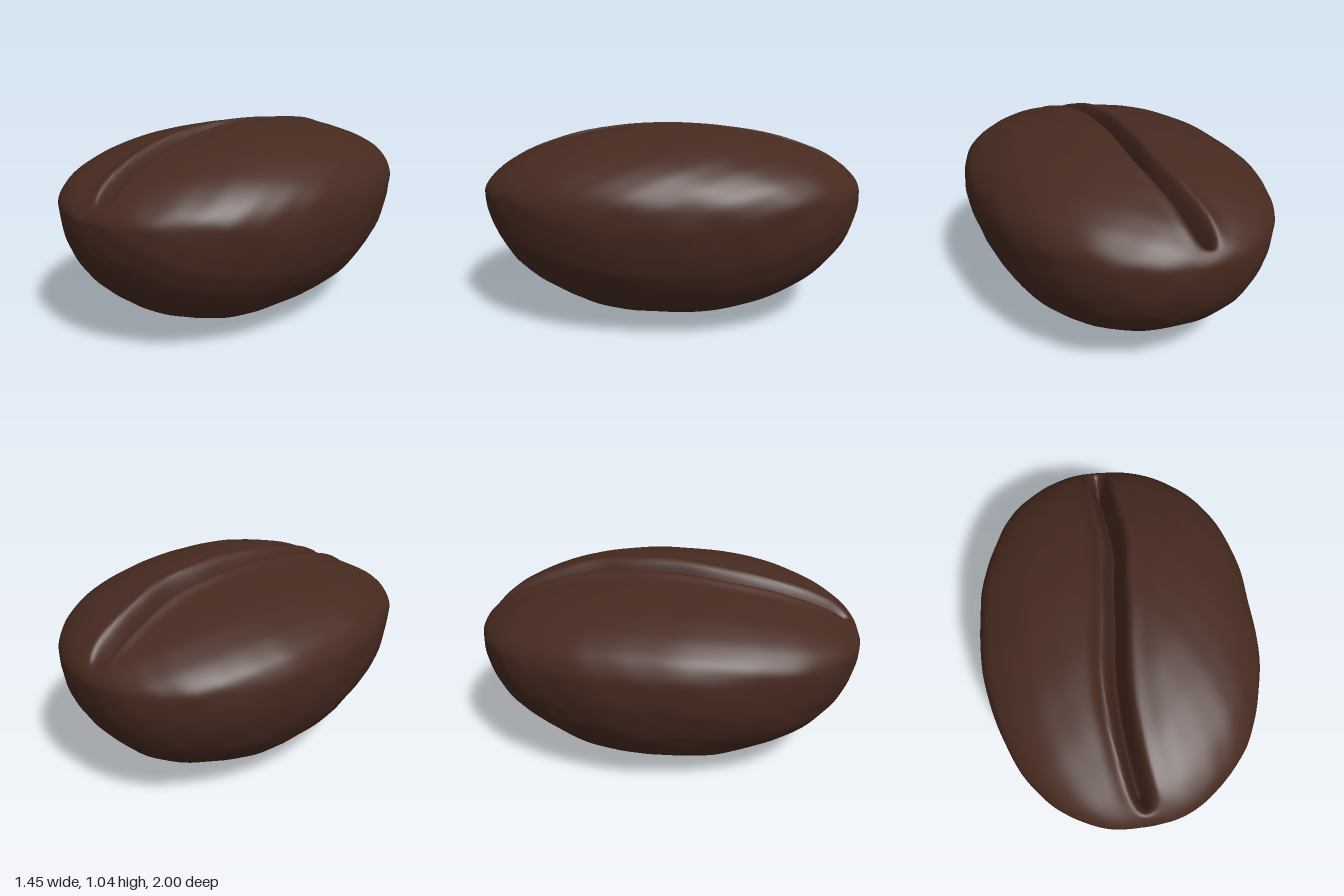
import * as THREE from 'three';

const ROWS = 150, TOP = 110, BOTTOM = 70;
const RIM = 0.68, HALF_WIDTH = 0.725;
const { smoothstep, clamp } = THREE.MathUtils;

// Centre line of the crease: x at evenly spaced z from -1 to 1
const creaseLine = new THREE.SplineCurve(
  [0.01, 0.012, 0.025, 0.033, 0.005, -0.015, -0.042, -0.055, -0.047, -0.022, 0.015]
    .map((x, i) => new THREE.Vector2(-1 + i * 0.2, x)));

// Superellipse: 1 at t = 0 falling to 0 at t = 1; larger n is fuller
const arch = (t, n) => Math.pow(Math.max(0, 1 - Math.pow(Math.abs(t), n)), 1 / n);

// Irregular bumps of the roasted skin, from broad to fine
function bumps(x, y, z) {
  return 0.006 * Math.sin(5.1 * x + 3.3 * y + 1.3) * Math.sin(4.3 * z - 2.1 * y + 0.4)
    + 0.005 * Math.sin(9.7 * x - 6.1 * z + 2.0) * Math.sin(8.3 * y + 5.2 * z)
    + 0.003 * Math.sin(17 * x + 9 * z + 3 * y) * Math.sin(21 * y - 7 * z + 1)
    + 0.002 * Math.sin(29 * x - 11 * z + 8 * y) * Math.sin(41 * y + 13 * z + 2);
}

// Height change of the crease: a V valley with a raised lip on each side
function crease(d, z, r) {
  const fade = smoothstep(0.97 - Math.abs(z + 0.005), 0, 0.13);
  const width = d < 0 ? 0.042 : 0.054;
  const valley = -0.19 * Math.exp(-Math.pow(Math.abs(d) / (width * 0.72), 2));
  const lip = (d < 0 ? 0.024 : 0.016) * r * Math.exp(-Math.pow((Math.abs(d) - width * 1.4) / 0.04, 2));
  return fade * (valley + lip);
}

// Closed cross-sections from the front tip to the back tip
function beanGeometry() {
  const positions = [], indices = [], ring = TOP + BOTTOM;
  const add = (x, y, z) => {
    const k = 1 + bumps(x, y, z) * 1.2;
    positions.push(x * k, RIM + (y - RIM) * k, z * (1 + (k - 1) * 0.5));
  };
  for (let i = 0; i <= ROWS; i++) {
    const z = Math.cos(Math.PI * i / ROWS);
    const r = arch(z, 2), depth = RIM * arch(z, 2.1), cx = -0.03 * z * z;

    // The bean is fuller on its left side, most of all towards the back
    const left = HALF_WIDTH * arch(z, z < 0 ? 2.38 : 2.25);
    const right = HALF_WIDTH * arch(z, 2.06);
    const g = clamp(creaseLine.getPoint((z + 1) / 2).y, cx - right * 0.7, cx + left * 0.7);

    // Creased top, with columns gathered at the crease and the rim
    for (let j = 0; j < TOP; j++) {
      const s = -1 + 2 * j / TOP, a = Math.abs(s), p = a * a * (3 - 2 * a);
      const edge = s < 0 ? cx - right : cx + left;
      const x = g + (edge - g) * p;
      const half = x < cx ? right : left;
      const u = half > 0 ? clamp((x - cx) / half, -1, 1) : 0;
      const dome = arch(u, u < 0 ? 2.15 : 2.2) * Math.pow(r, z < 0 ? 1.15 : 1.22);
      const crown = 0.305 + 0.048 * smoothstep(x, -0.1, 0.2);
      add(x, RIM + crown * dome + crease(x - g, z, r) * smoothstep(dome, 0, 0.25), z);
    }
    // Rounded underside
    for (let j = 0; j < BOTTOM; j++) {
      const c = Math.cos(Math.PI * j / BOTTOM);
      add(cx + (c < 0 ? right : left) * c, RIM - depth * arch(c, 2.06), z);
    }
  }
  for (let i = 0; i < ROWS; i++) {
    for (let j = 0; j < ring; j++) {
      const a = i * ring + j, b = i * ring + (j + 1) % ring;
      const c = a + ring, d = b + ring;
      if (i > 0) indices.push(a, b, c);
      if (i < ROWS - 1) indices.push(b, d, c);
    }
  }
  const geometry = new THREE.BufferGeometry();
  geometry.setAttribute('position', new THREE.Float32BufferAttribute(positions, 3));
  geometry.setIndex(indices);
  geometry.computeBoundingBox();
  const { min, max } = geometry.boundingBox;
  geometry.translate(-(min.x + max.x) / 2, -min.y, -(min.z + max.z) / 2);
  geometry.computeVertexNormals();
  return geometry;
}

export function createModel() {
  const roast = new THREE.MeshStandardMaterial({ color: 0x472a20 });
  roast.name = 'dark roast brown';
  const bean = new THREE.Mesh(beanGeometry(), roast);
  bean.name = 'bean';
  const group = new THREE.Group();
  group.name = 'coffeeBean';
  group.add(bean);
  return group;
}
